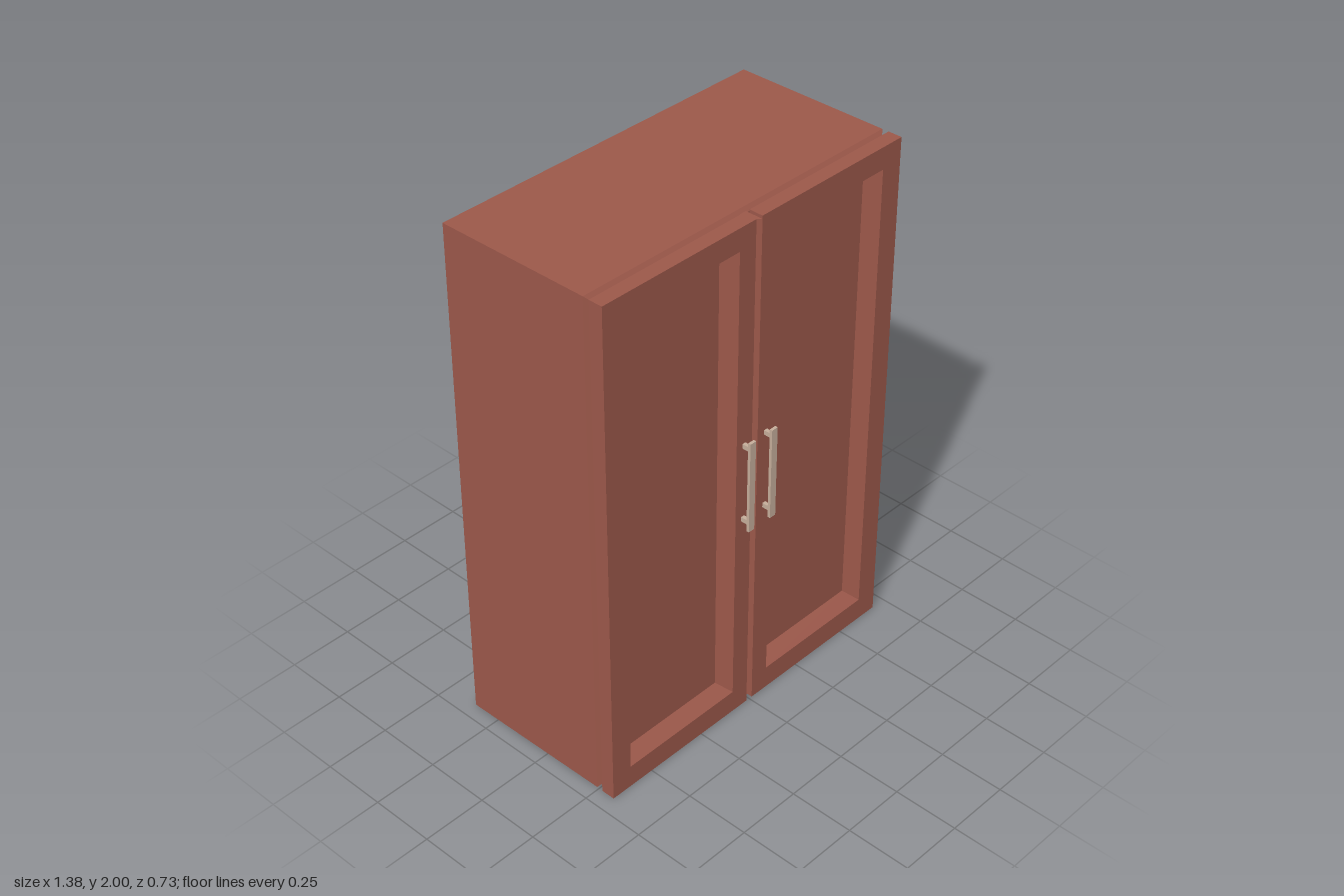
import * as THREE from 'three';

// Skins a series of rectangles [x0, x1, y0, y1, z], back to front, and caps both ends.
function loftRects(rects) {
  const pos = [];
  const rings = rects.map(([x0, x1, y0, y1, z]) => [[x0, y0, z], [x1, y0, z], [x1, y1, z], [x0, y1, z]]);
  const quad = (a, b, c, d) => pos.push(...a, ...b, ...c, ...a, ...c, ...d);
  for (let i = 0; i < rings.length - 1; i++) {
    for (let k = 0; k < 4; k++) {
      const n = (k + 1) % 4;
      quad(rings[i][k], rings[i][n], rings[i + 1][n], rings[i + 1][k]);
    }
  }
  const [a, b, c, d] = rings[0];
  quad(d, c, b, a);
  quad(...rings[rings.length - 1]);
  const geometry = new THREE.BufferGeometry();
  geometry.setAttribute('position', new THREE.Float32BufferAttribute(pos, 3));
  geometry.computeVertexNormals();
  return geometry;
}

const inset = ([x0, x1, y0, y1], d, z) => [x0 + d, x1 - d, y0 + d, y1 - d, z];

export function createModel() {
  const model = new THREE.Group();
  model.name = 'cabinet';
  const wood = new THREE.MeshStandardMaterial({ color: 0x9c584a });
  wood.name = 'reddish brown wood';
  const metal = new THREE.MeshStandardMaterial({ color: 0xc6ae9b });
  metal.name = 'warm satin metal';

  const add = (parent, name, geometry, material, x = 0, y = 0, z = 0) => {
    const mesh = new THREE.Mesh(geometry, material);
    mesh.name = name;
    mesh.position.set(x, y, z);
    parent.add(mesh);
    return mesh;
  };

  // Carcass, slightly out of square, with a bevelled front edge behind the doors
  const front = [-0.686, 0.688, 0, 2];
  add(model, 'carcass', loftRects([
    [-0.691, 0.683, 0, 2, -0.365],
    inset(front, 0, 0.24),
    inset(front, 0.016, 0.254),
  ]), wood);

  // Filler between the doors, with a shallow V along its front
  const plan = new THREE.Shape([
    [-0.014, 0.25], [0.014, 0.25], [0.014, 0.319], [0, 0.304], [-0.014, 0.319],
  ].map(([x, z]) => new THREE.Vector2(x, -z)));
  const filler = new THREE.ExtrudeGeometry(plan, { depth: 1.976, bevelEnabled: false });
  filler.rotateX(-Math.PI / 2);
  add(model, 'doorGapFiller', filler, wood, 0, 0.012, 0);

  for (const side of [-1, 1]) {
    const label = side > 0 ? 'left' : 'right';

    // Door with a bevelled back edge and a sunken, sloped panel
    const edge = side > 0 ? [0.014, 0.689, 0, 2] : [-0.687, -0.014, 0, 2];
    const recess = side > 0 ? [0.088, 0.602, 0.09, 1.915] : [-0.602, -0.088, 0.09, 1.915];
    add(model, label + 'Door', loftRects([
      inset(edge, 0.016, 0.253),
      inset(edge, 0, 0.266),
      inset(edge, 0, 0.32),
      inset(recess, 0, 0.32),
      inset(recess, 0.039, 0.27),
    ]), wood);

    // Bar handle on two posts
    const handle = new THREE.Group();
    handle.name = label + 'Handle';
    handle.position.set(side * 0.053, 1.003, 0);
    add(handle, 'handleBar', new THREE.BoxGeometry(0.027, 0.365, 0.011), metal, 0, 0, 0.3555);
    for (const y of [-0.152, 0.152]) {
      add(handle, 'handlePost', new THREE.BoxGeometry(0.014, 0.018, 0.034), metal, 0, y, 0.335);
    }
    model.add(handle);
  }
  return model;
}
